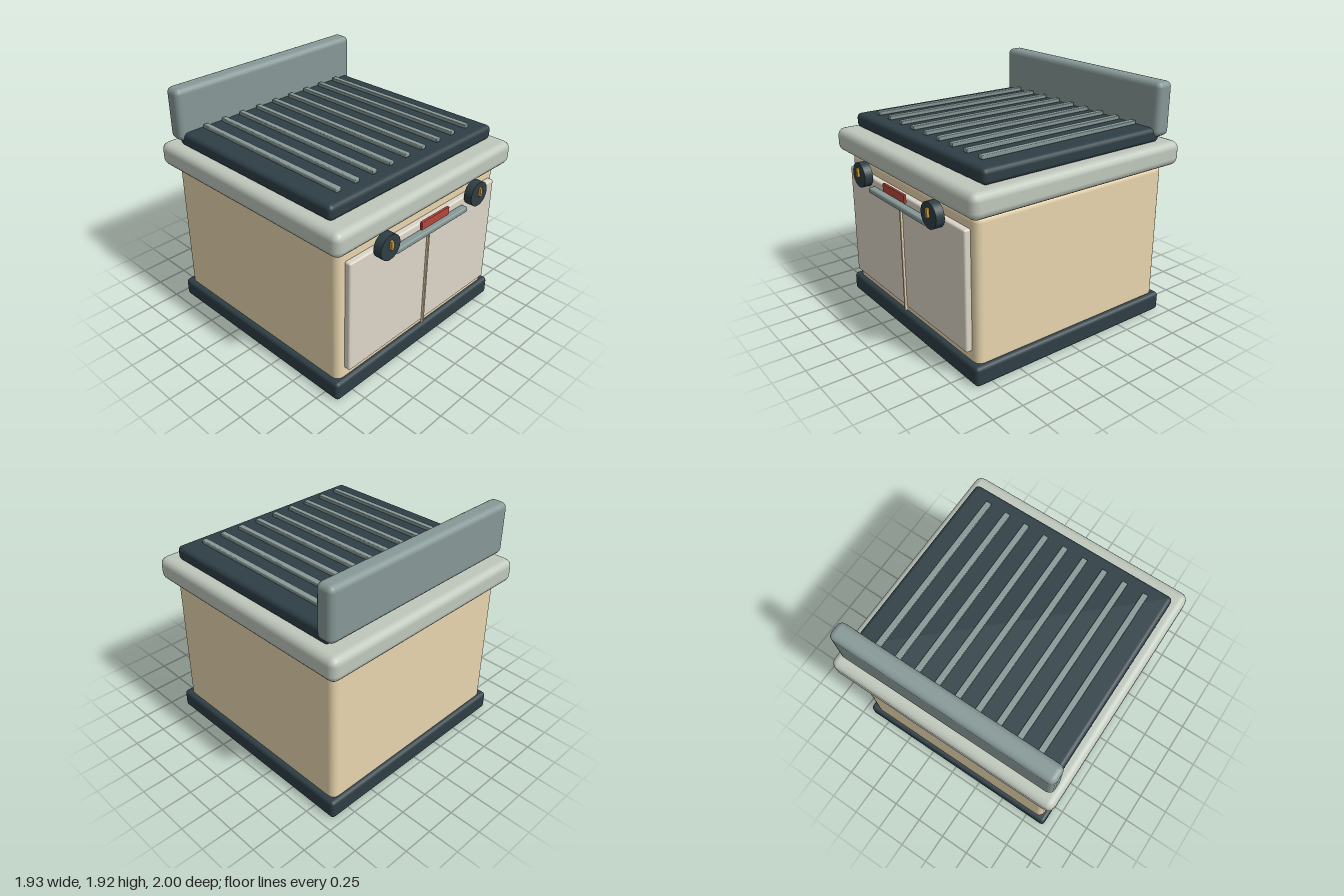
import * as THREE from 'three';
import { RoundedBoxGeometry } from 'three/addons/geometries/RoundedBoxGeometry.js';

const mat = (color) => new THREE.MeshStandardMaterial({ color });

export function createModel() {
  const group = new THREE.Group();
  const cream = mat(0xe8d5ad), door = mat(0xdcd5c8), stone = mat(0xbfc7bc);
  const dark = mat(0x2e3f46), steel = mat(0x869896), red = mat(0xb5473a), brass = mat(0xd09c30);

  const add = (name, geometry, material, x, y, z) => {
    const mesh = new THREE.Mesh(geometry, material);
    mesh.name = name;
    mesh.position.set(x, y, z);
    group.add(mesh);
    return mesh;
  };
  // Rounded block given by centre x, width and its y and z ranges
  const block = (name, material, x, width, [y0, y1], [z0, z1], radius) =>
    add(name, new RoundedBoxGeometry(width, y1 - y0, z1 - z0, 2, radius), material,
      x, (y0 + y1) / 2, (z0 + z1) / 2);

  // Cabinet
  block('plinth', dark, 0, 1.84, [0, 0.155], [-0.945, 0.89], 0.03);
  block('body', cream, 0, 1.76, [0.004, 1.265], [-0.91, 0.852], 0.055);
  block('countertop', stone, 0, 1.935, [1.265, 1.457], [-1, 0.937], 0.06);

  // Grill top and splash guard
  block('grillPlate', dark, 0, 1.76, [1.457, 1.572], [-0.85, 0.79], 0.035);
  block('backGuard', steel, 0, 1.82, [1.5, 1.92], [-0.92, -0.772], 0.045);
  for (let i = -4; i <= 4; i++) {
    block('grillBar', steel, i * 0.174, 0.046, [1.574, 1.604], [-0.75, 0.685], 0.006);
  }

  // Front doors with the seam strip, handle and badge
  block('doorPanel', door, 0, 1.625, [0.235, 1.162], [0.845, 0.902], 0.015);
  block('doorSeam', cream, 0, 0.016, [0.207, 1.042], [0.895, 0.921], 0.004);
  block('handle', steel, 0, 0.81, [1.066, 1.11], [0.9, 0.96], 0.014);
  block('frontBadge', red, 0, 0.31, [1.153, 1.22], [0.945, 0.967], 0.005);

  // Control knobs with pointers
  for (const side of [-1, 1]) {
    const knob = add('knob', new THREE.CylinderGeometry(0.099, 0.099, 0.067, 32), dark,
      side * 0.504, 1.186, 0.947);
    knob.rotation.x = Math.PI / 2;
    add('knobPointer', new THREE.BoxGeometry(0.025, 0.068, 0.025), brass, side * 0.504, 1.208, 0.9875);
  }
  return group;
}
